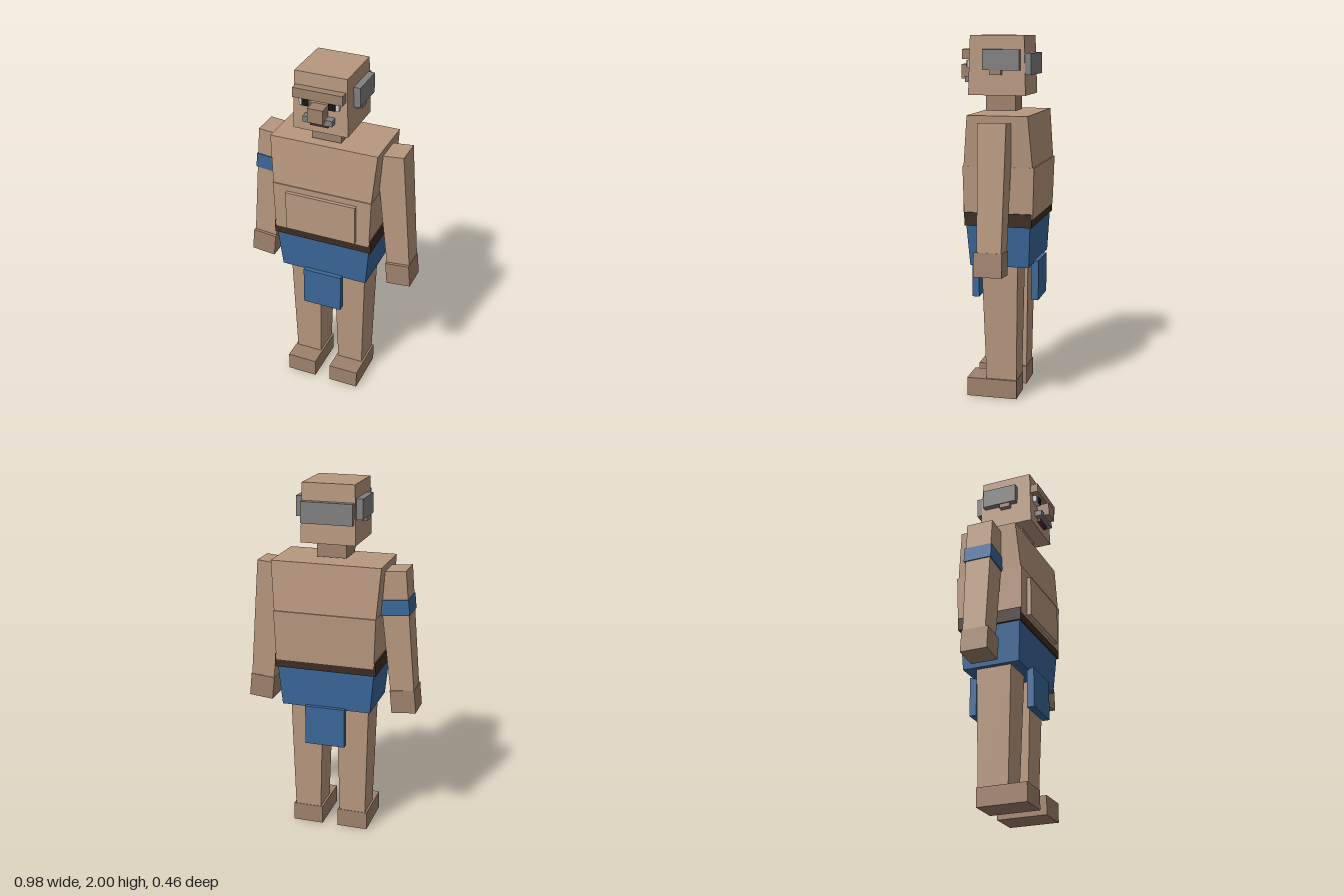
import * as THREE from 'three';

const paint = (color) => new THREE.MeshStandardMaterial({ color, flatShading: true });
const skin = paint(0xb8987f);
const darkSkin = paint(0x9f826d);
const cloth = paint(0x3a6799);
const leather = paint(0x3d2c22);
const hair = paint(0x808080);
const white = paint(0xcccccc);
const black = paint(0x151515);
const lip = paint(0x5e2a2a);

// Tapered block; each end is [y, xMin, xMax, zMin, zMax]
function block(parent, name, material, top, bottom) {
  const geometry = new THREE.BoxGeometry(1, 1, 1);
  const p = geometry.attributes.position;
  for (let i = 0; i < p.count; i++) {
    const [y, x0, x1, z0, z1] = p.getY(i) > 0 ? top : bottom;
    p.setXYZ(i, p.getX(i) > 0 ? x1 : x0, y, p.getZ(i) > 0 ? z1 : z0);
  }
  geometry.computeVertexNormals();
  const mesh = new THREE.Mesh(geometry, material);
  mesh.name = name;
  parent.add(mesh);
  return mesh;
}

// Straight block from its limits
function box(parent, name, material, x0, x1, y0, y1, z0, z1) {
  return block(parent, name, material, [y1, x0, x1, z0, z1], [y0, x0, x1, z0, z1]);
}

// Straight block mirrored onto both sides
function pair(parent, name, material, x0, x1, ...rest) {
  box(parent, 'left' + name, material, x0, x1, ...rest);
  box(parent, 'right' + name, material, -x1, -x0, ...rest);
}

function buildHead() {
  const g = new THREE.Group();
  g.name = 'head';
  block(g, 'skull', skin, [2, -0.145, 0.145, -0.146, 0.152], [1.68, -0.153, 0.153, -0.156, 0.162]);
  box(g, 'neck', darkSkin, -0.083, 0.083, 1.592, 1.69, -0.085, 0.08);
  // Hair and ears
  box(g, 'backHair', hair, -0.143, 0.143, 1.79, 1.905, -0.184, -0.13);
  pair(g, 'SideHair', hair, 0.14, 0.184, 1.815, 1.925, -0.128, 0.075);
  pair(g, 'Ear', darkSkin, 0.14, 0.178, 1.79, 1.88, -0.026, 0.037);
  // Face
  box(g, 'brow', darkSkin, -0.138, 0.138, 1.873, 1.926, 0.14, 0.199);
  pair(g, 'Eye', white, 0.053, 0.11, 1.827, 1.867, 0.14, 0.18);
  pair(g, 'Pupil', black, 0.055, 0.092, 1.829, 1.865, 0.15, 0.187);
  box(g, 'nose', darkSkin, -0.042, 0.042, 1.763, 1.842, 0.14, 0.23);
  box(g, 'moustache', hair, -0.082, 0.082, 1.745, 1.778, 0.14, 0.2);
  box(g, 'mouth', lip, -0.05, 0.05, 1.723, 1.745, 0.14, 0.18);
  return g;
}

function buildTorso() {
  const g = new THREE.Group();
  g.name = 'torso';
  block(g, 'chest', skin, [1.583, -0.306, 0.306, -0.202, 0.128], [1.29, -0.284, 0.284, -0.226, 0.154]);
  block(g, 'abdomen', skin, [1.31, -0.287, 0.287, -0.233, 0.158], [1.03, -0.277, 0.277, -0.225, 0.153]);
  box(g, 'bellyPanel', skin, -0.203, 0.203, 1.046, 1.275, 0.12, 0.178);
  box(g, 'belt', leather, -0.286, 0.286, 0.987, 1.06, -0.22, 0.15);
  // Loincloth with a front and a back flap
  block(g, 'loincloth', cloth, [0.99, -0.274, 0.274, -0.21, 0.142], [0.762, -0.252, 0.252, -0.2, 0.127]);
  box(g, 'frontFlap', cloth, -0.113, 0.113, 0.548, 0.772, 0.115, 0.155);
  box(g, 'backFlap', cloth, -0.113, 0.113, 0.548, 0.772, -0.224, -0.184);
  return g;
}

function buildArm(side) {
  const g = new THREE.Group();
  g.name = side > 0 ? 'leftArm' : 'rightArm';
  block(g, 'arm', skin, [0, -0.077, 0.077, -0.113, 0.04], [-0.685, -0.066, 0.066, -0.1, 0.031]);
  box(g, 'hand', darkSkin, -0.069, 0.069, -0.805, -0.675, -0.105, 0.048);
  if (side < 0) box(g, 'armBand', cloth, -0.079, 0.079, -0.243, -0.157, -0.118, 0.043);
  g.position.set(side * 0.341, 1.548, 0);
  g.rotation.z = side * 0.097;
  return g;
}

function buildLeg(side) {
  const g = new THREE.Group();
  g.name = side > 0 ? 'leftLeg' : 'rightLeg';
  const cx = side * 0.133;
  block(g, 'leg', skin, [0.8, cx - 0.094, cx + 0.094, -0.132, 0.071], [0.09, cx - 0.075, cx + 0.075, -0.122, 0.048]);
  box(g, 'foot', darkSkin, cx - 0.087, cx + 0.087, 0, 0.105, -0.125, 0.158);
  return g;
}

export function createModel() {
  const model = new THREE.Group();
  model.name = 'blockyMan';
  model.add(buildHead(), buildTorso());
  for (const side of [1, -1]) model.add(buildArm(side), buildLeg(side));
  return model;
}
